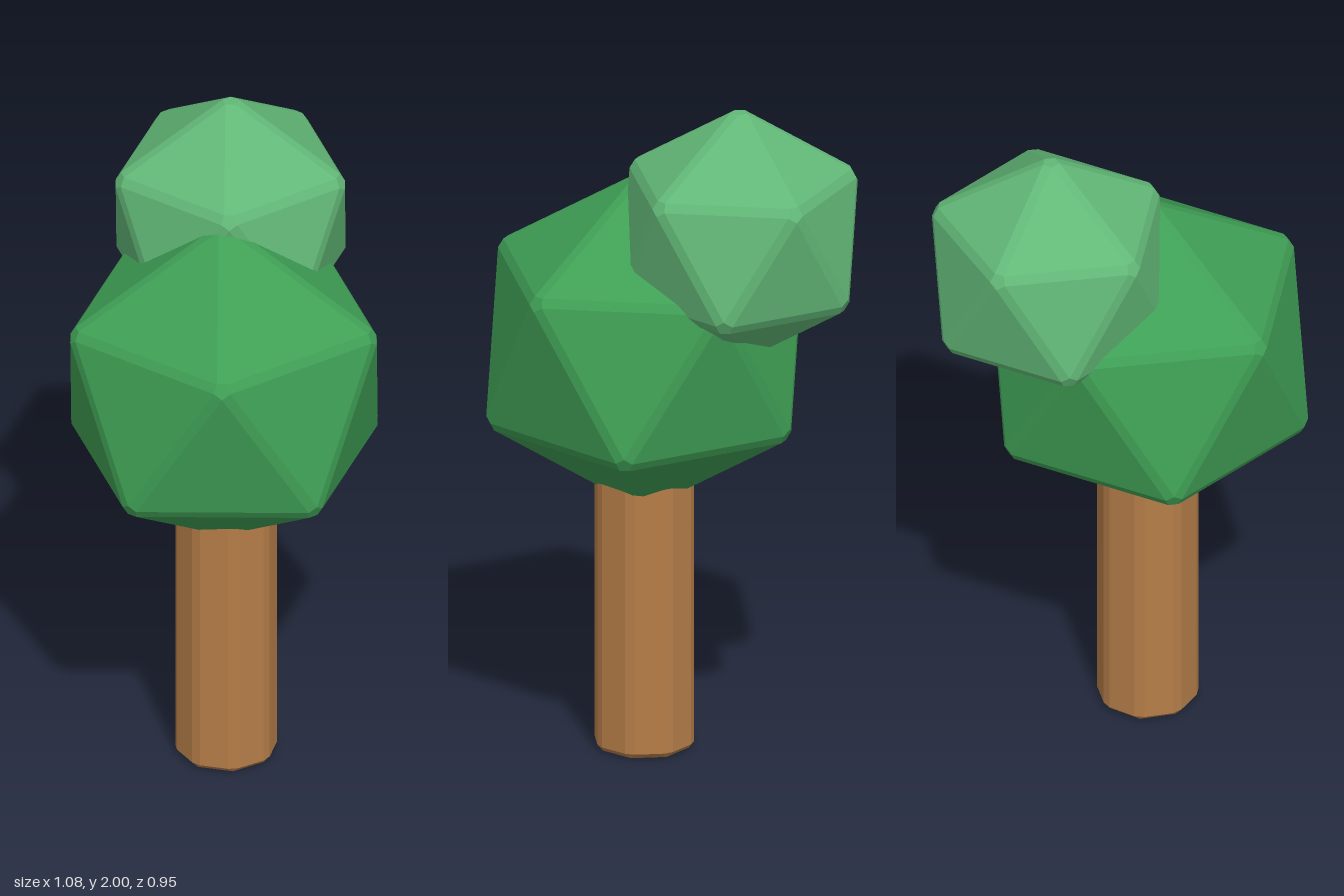
import * as THREE from 'three';
import { ConvexGeometry } from 'three/addons/geometries/ConvexGeometry.js';

const polar = (r, degrees, y) => {
  const a = THREE.MathUtils.degToRad(degrees);
  return new THREE.Vector3(r * Math.cos(a), y, r * Math.sin(a));
};

// Chamfers a convex solid: insets every face by d and wraps the inset corners.
function chamferedSolid(faces, d) {
  const points = [];
  for (const face of faces) {
    face.forEach((corner, i) => {
      const toNext = face[(i + 1) % face.length].clone().sub(corner).normalize();
      const toPrev = face[(i + face.length - 1) % face.length].clone().sub(corner).normalize();
      const sine = Math.sin(toNext.angleTo(toPrev));
      points.push(corner.clone().addScaledVector(toNext.add(toPrev), d / sine));
    });
  }
  return new ConvexGeometry(points);
}

// Icosahedron standing on one corner, as a list of triangles.
function icosahedronFaces(radius) {
  const top = new THREE.Vector3(0, radius, 0);
  const bottom = new THREE.Vector3(0, -radius, 0);
  const ringY = radius / Math.sqrt(5);
  const upper = i => polar(2 * ringY, 72 * i, ringY);
  const lower = i => polar(2 * ringY, 72 * i + 36, -ringY);
  const faces = [];
  for (let i = 0; i < 5; i++) {
    faces.push(
      [top, upper(i), upper(i + 1)],
      [upper(i), lower(i), upper(i + 1)],
      [lower(i), lower(i + 1), upper(i + 1)],
      [bottom, lower(i), lower(i + 1)]
    );
  }
  return faces;
}

// Upright prism with its base at y = 0.
function prismFaces(radius, height, sides) {
  const corner = (i, y) => polar(radius, (360 / sides) * i, y);
  const base = [], lid = [], faces = [base, lid];
  for (let i = 0; i < sides; i++) {
    base.push(corner(i, 0));
    lid.push(corner(i, height));
    faces.push([corner(i, 0), corner(i + 1, 0), corner(i + 1, height), corner(i, height)]);
  }
  return faces;
}

export function createModel() {
  const tree = new THREE.Group();
  tree.name = 'tree';

  const add = (name, geometry, color, x, y, z) => {
    const material = new THREE.MeshStandardMaterial({ color, flatShading: true });
    const mesh = new THREE.Mesh(geometry, material);
    mesh.name = name;
    mesh.position.set(x, y, z);
    tree.add(mesh);
  };

  // Octagonal trunk, reaching up into the foliage
  add('trunk', chamferedSolid(prismFaces(0.153, 1.0, 8), 0.016), 0xb57d48, -0.07, 0, 0.03);

  // Two faceted clumps of leaves
  add('largeFoliage', chamferedSolid(icosahedronFaces(0.53), 0.016), 0x3f9f55, -0.075, 1.245, 0.026);
  add('smallFoliage', chamferedSolid(icosahedronFaces(0.398), 0.016), 0x62b877, 0.187, 1.621, -0.145);

  return tree;
}
